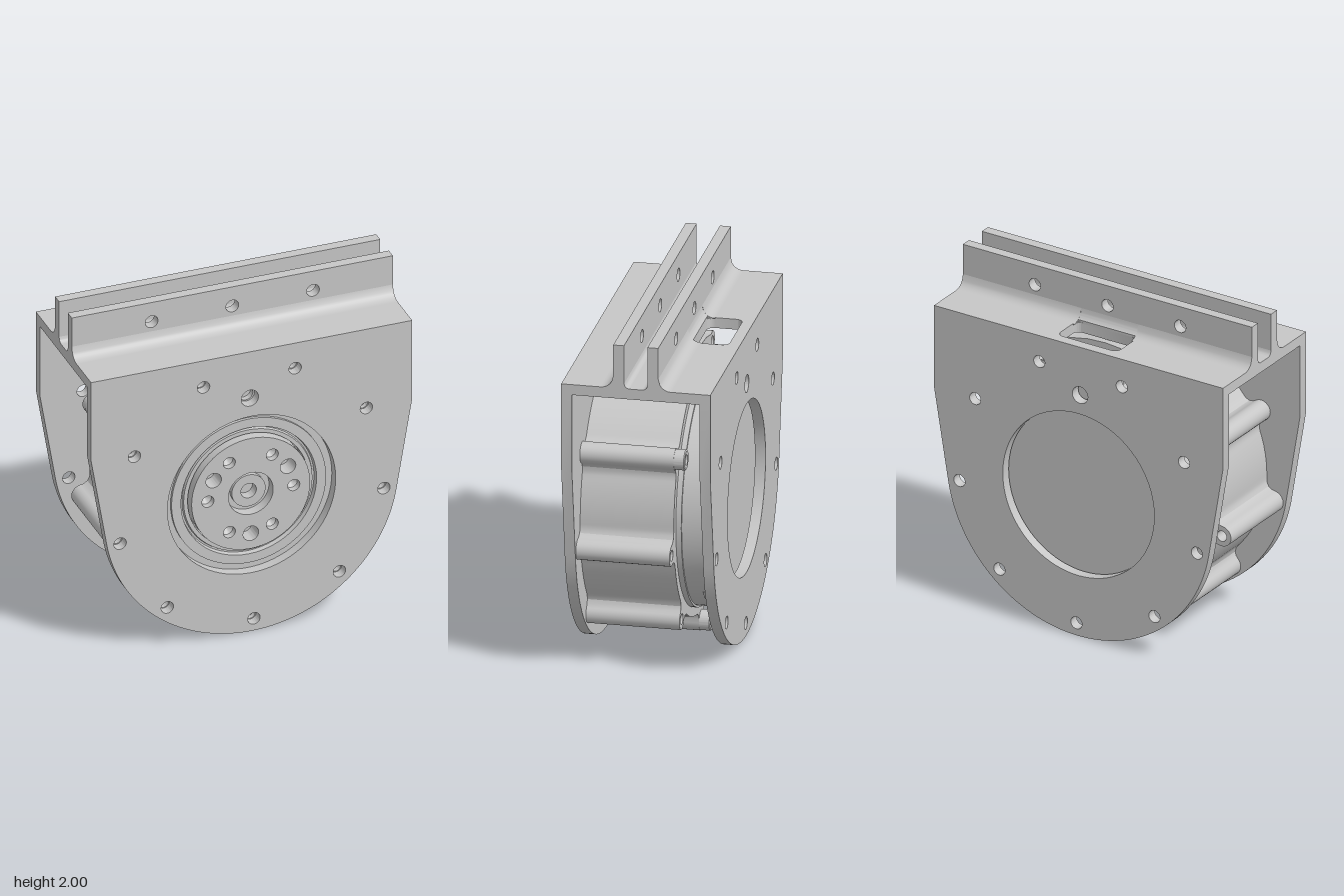
import * as THREE from 'three';
import { toCreasedNormals } from 'three/addons/utils/BufferGeometryUtils.js';

const grey = new THREE.MeshStandardMaterial({ color: 0xc6c6c6 });
grey.name = 'metal grey';
const CY = 0.855; // height of the motor axis
const D = Math.PI / 180;
const boltAngles = Array.from({ length: 9 }, (_, i) => (31 + 40 * i) * D);
const at = (r, a) => [r * Math.cos(a), r * Math.sin(a)];

function add(parent, name, geometry) {
  const mesh = new THREE.Mesh(toCreasedNormals(geometry, 0.5), grey);
  mesh.name = name;
  parent.add(mesh);
  return mesh;
}
const poly = pts => new THREE.Shape(pts.map(p => new THREE.Vector2(...p)));
function hole(shape, x, y, r) {
  shape.holes.push(new THREE.Path().absarc(x, y, r, 0, Math.PI * 2, true));
}
function disc(r) {
  return new THREE.Shape().absarc(0, 0, r, 0, Math.PI * 2, false);
}
function extrude(shape, z0, z1, curveSegments = 16) {
  const g = new THREE.ExtrudeGeometry(shape, { depth: z1 - z0, bevelEnabled: false, curveSegments });
  return g.translate(0, 0, z0);
}
// Revolves [radius, z] points about the motor axis
function turned(pts) {
  const g = new THREE.LatheGeometry(pts.map(p => new THREE.Vector2(...p)), 64);
  return g.rotateX(Math.PI / 2);
}
// Extrudes [z, y] points along x
function alongX(pts, x0, x1) {
  return extrude(poly(pts.map(([z, y]) => [-z, y])), x0, x1).rotateY(Math.PI / 2);
}

function sidePlate() {
  const s = new THREE.Shape();
  s.moveTo(-0.935, 1.75);
  s.lineTo(-0.935, 1.26);
  s.absarc(0, CY, CY, 189.4 * D, 350.6 * D, false);
  s.lineTo(0.935, 1.26);
  s.lineTo(0.935, 1.75);
  hole(s, 0, CY, 0.49);
  hole(s, -0.01, 1.46, 0.05);
  for (const a of boltAngles) {
    const [x, y] = at(0.78, a);
    hole(s, x, CY + y, 0.036);
  }
  return s;
}

// Concave fillet between the top plate and a fin face at z, cut off at distance cut
function fillet(z, dir, r, cut = r) {
  const pts = [[z, 1.745]];
  for (let i = 0; i <= 8; i++) {
    const d = cut * i / 8;
    pts.push([z + dir * d, 1.75 + r - Math.sqrt(Math.max(0, r * r - (r - d) ** 2))]);
  }
  pts.push([z + dir * cut, 1.745]);
  return pts;
}

function makeBracket() {
  const g = new THREE.Group();
  g.name = 'bracket';
  add(g, 'frontPlate', extrude(sidePlate(), 0.355, 0.414, 40));
  add(g, 'backPlate', extrude(sidePlate(), -0.414, -0.355, 40));

  // Top plate with rounded connector slot
  const top = poly([[-0.935, -0.355], [0.935, -0.355], [0.935, 0.355], [-0.935, 0.355]]);
  const slot = new THREE.Path();
  slot.absarc(-0.17, 0.195, 0.04, -Math.PI / 2, -Math.PI, true);
  slot.absarc(-0.17, 0.312, 0.04, Math.PI, Math.PI / 2, true);
  slot.absarc(0.14, 0.312, 0.04, Math.PI / 2, 0, true);
  slot.absarc(0.14, 0.195, 0.04, 0, -Math.PI / 2, true);
  top.holes.push(slot);
  add(g, 'topPlate', extrude(top, 1.69, 1.75).rotateX(-Math.PI / 2));

  // Two drilled mounting fins
  for (const side of [1, -1]) {
    const fin = poly([[-0.935, 1.745], [0.935, 1.745], [0.935, 2], [-0.935, 2]]);
    for (const x of [-0.47, 0, 0.47]) hole(fin, x, 1.88, 0.037);
    const z = side > 0 ? 0.065 : -0.125;
    add(g, 'mountingFin', extrude(fin, z, z + 0.06));
    add(g, 'innerFillet', alongX(fillet(side * 0.065, -side, 0.03), -0.935, 0.935));
  }
  add(g, 'frontFillet', alongX(fillet(0.125, 1, 0.07), -0.935, 0.935));
  add(g, 'backFillet', alongX(fillet(-0.125, -1, 0.07), -0.935, -0.2));
  add(g, 'backFillet', alongX(fillet(-0.125, -1, 0.07), 0.17, 0.935));
  add(g, 'backFillet', alongX(fillet(-0.125, -1, 0.07, 0.03), -0.2, 0.17));
  return g;
}

// Round housing outline with nine flared bolt lobes; the top two are joined
function housingShape() {
  const pts = [];
  const flare = [[0.711, -0.112], [0.717, -0.09], [0.732, -0.07], [0.755, -0.06]];
  boltAngles.forEach((a, i) => {
    const put = (u, v) => pts.push([
      u * Math.cos(a) - v * Math.sin(a), u * Math.sin(a) + v * Math.cos(a)]);
    const joinBefore = i === 2, joinAfter = i === 1;
    if (!joinBefore) flare.forEach(([u, v]) => put(u, v));
    for (let t = joinBefore ? -45 : -90; t <= (joinAfter ? 45 : 90); t += 15) {
      put(0.78 + 0.06 * Math.cos(t * D), 0.06 * Math.sin(t * D));
    }
    if (!joinAfter) [...flare].reverse().forEach(([u, v]) => put(u, -v));
    const [r, from, to] = joinAfter ? [0.82, 4, 36] : [0.72, 11, 29];
    for (let k = 0; k <= 4; k++) pts.push(at(r, a + (from + (to - from) * k / 4) * D));
  });
  const s = poly(pts);
  hole(s, 0, 0, 0.45);
  hole(s, -0.012, 0.605, 0.042);
  for (const a of boltAngles) hole(s, ...at(0.78, a), 0.031);
  return s;
}

function makeMotor() {
  const g = new THREE.Group();
  g.name = 'motor';
  g.position.y = CY;
  add(g, 'housing', extrude(housingShape(), -0.165, 0.355, 32));
  add(g, 'locatingPin', extrude(disc(0.043), 0.2, 0.32)).position.set(-0.012, 0.605, 0);
  add(g, 'backCover', turned([[0, -0.34], [0.655, -0.34], [0.655, -0.195], [0.667, -0.195],
    [0.667, -0.16], [0.44, -0.16]]));
  // Bearing ring around the output flange
  add(g, 'bearingRing', turned([[0.45, 0.33], [0.45, 0.372], [0.395, 0.372], [0.39, 0.345],
    [0.38, 0.345], [0.375, 0.36], [0.352, 0.36], [0.35, 0.3], [0, 0.3]]));

  // Output flange with six small and three large holes
  const flange = disc(0.345);
  hole(flange, 0, 0, 0.13);
  for (let i = 0; i < 6; i++) hole(flange, ...at(0.25, i * 60 * D), 0.035);
  for (let i = 0; i < 3; i++) hole(flange, ...at(0.25, (30 + i * 120) * D), 0.045);
  add(g, 'outputFlange', extrude(flange, 0.295, 0.403, 32));
  for (let i = 0; i < 6; i++) {
    // conical hole bottoms
    const m = add(g, 'drillCone', turned([[0.036, 0.365], [0, 0.335]]));
    m.position.set(...at(0.25, i * 60 * D), 0);
  }
  add(g, 'hub', turned([[0.131, 0.34], [0.098, 0.34], [0.098, 0.37], [0.045, 0.37],
    [0.045, 0.31], [0, 0.31]]));

  // Three socket screws
  for (const i of [0, 3, 6]) {
    const [x, y] = at(0.78, boltAngles[i]);
    const screw = add(g, 'socketScrew', turned([[0, -0.195], [0.03, -0.195], [0.03, -0.225],
      [0.052, -0.225], [0.057, -0.22], [0.057, -0.164], [0.028, -0.164],
      [0.028, 0.33], [0, 0.33]]));
    screw.position.set(x, y, 0);
  }
  // Small keys on the cover rim
  for (const a of [47, 133, -44, -136]) {
    const key = add(g, 'rimKey', new THREE.BoxGeometry(0.02, 0.08, 0.06));
    key.position.set(...at(0.648, a * D), -0.309);
    key.rotation.z = a * D;
  }
  return g;
}

function makeConnector() {
  const g = new THREE.Group();
  g.name = 'connector';
  const box = (name, w, h, d, x, y, z) =>
    add(g, name, new THREE.BoxGeometry(w, h, d)).position.set(x, y, z);
  box('base', 0.275, 0.06, 0.1, -0.0125, 1.52, -0.253);
  // Open shell with dividing wall
  const shell = poly([[-0.15, 0.203], [0.125, 0.203], [0.125, 0.303], [-0.15, 0.303]]);
  for (const [x0, x1] of [[-0.138, 0.04], [0.055, 0.113]]) {
    shell.holes.push(poly([[x0, 0.215], [x1, 0.215], [x1, 0.291], [x0, 0.291]]));
  }
  add(g, 'shell', extrude(shell, 1.545, 1.62).rotateX(-Math.PI / 2));
  for (const x of [-0.1, 0.005]) {
    const socket = disc(0.028);
    hole(socket, 0, 0, 0.016);
    add(g, 'powerSocket', extrude(socket, 1.545, 1.61).rotateX(-Math.PI / 2)).position.set(x, 0, -0.253);
  }
  for (const z of [-0.273, -0.235]) box('signalPin', 0.012, 0.06, 0.012, 0.084, 1.575, z);
  for (const x of [-0.16, 0.135]) box('latch', 0.024, 0.09, 0.06, x, 1.535, -0.253);
  return g;
}

export function createModel() {
  const model = new THREE.Group();
  model.name = 'motorInBracket';
  model.add(makeBracket(), makeMotor(), makeConnector());
  return model;
}
